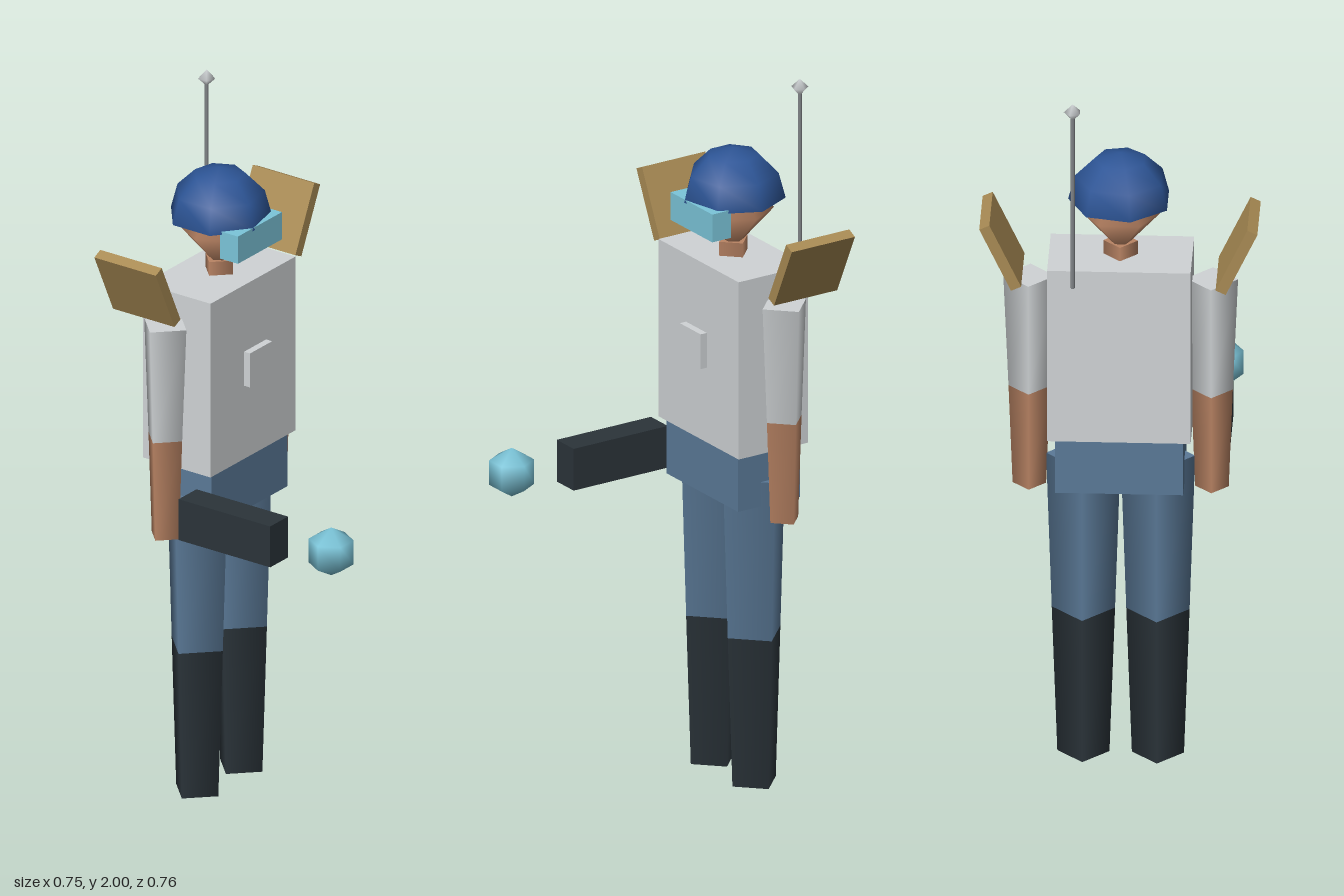
import * as THREE from 'three';

const mat = (name, color, side = THREE.FrontSide) => {
  const m = new THREE.MeshStandardMaterial({ color, side });
  m.name = name;
  return m;
};

export function createModel() {
  const model = new THREE.Group();
  model.name = 'trooper';
  const Z = -0.226; // depth of the body axis

  const grey = mat('light grey', 0xd0d4d6);
  const denim = mat('denim blue', 0x5b7a98);
  const dark = mat('dark slate', 0x2b343a);
  const skin = mat('skin', 0xba8464);
  const navy = mat('helmet blue', 0x2d5596, THREE.DoubleSide);
  const cyan = mat('pale cyan', 0x7cc6da);
  const tan = mat('tan', 0xa98b54);
  const steel = mat('steel', 0x85898c);

  const add = (name, geometry, material, x, y, z) => {
    const mesh = new THREE.Mesh(geometry, material);
    mesh.name = name;
    mesh.position.set(x, y, z);
    model.add(mesh);
    return mesh;
  };
  const box = (name, w, h, d, material, x, y, z) =>
    add(name, new THREE.BoxGeometry(w, h, d), material, x, y, z);
  // Four-sided tapered limb between two heights
  const limb = (name, rTop, rBottom, y0, y1, material, x) =>
    add(name, new THREE.CylinderGeometry(rTop, rBottom, y1 - y0, 4), material, x, (y0 + y1) / 2, Z);

  // Body
  box('torso', 0.385, 0.51, 0.224, grey, 0, 1.235, Z);
  box('chestPlate', 0.1, 0.1, 0.02, grey, 0, 1.25, -0.097);
  box('pelvis', 0.344, 0.16, 0.2, denim, 0, 0.9, Z);
  limb('neck', 0.046, 0.046, 1.47, 1.53, skin, 0);

  // Head, visor and helmet
  const head = add('head', new THREE.SphereGeometry(0.11, 6, 2), skin, 0, 1.618, Z);
  head.scale.y = 1.07;
  box('visor', 0.2, 0.08, 0.06, cyan, 0, 1.62, -0.121);
  add('helmet', new THREE.SphereGeometry(0.141, 7, 3, Math.PI, Math.PI * 2, 0, Math.PI / 2),
    navy, 0, 1.652, Z);

  // Limbs and shoulder panels, mirrored
  for (const [side, s] of [['left', 1], ['right', -1]]) {
    limb(side + 'Sleeve', 0.07, 0.056, 1.09, 1.42, grey, s * 0.245);
    limb(side + 'Forearm', 0.056, 0.045, 0.8, 1.09, skin, s * 0.245);
    limb(side + 'Thigh', 0.1, 0.085, 0.43, 0.89, denim, s * 0.1);
    limb(side + 'Boot', 0.085, 0.07, 0, 0.43, dark, s * 0.1);
    const panel = box(side + 'ShoulderPanel', 0.03, 0.2, 0.204, tan, s * 0.317, 1.54, -0.266);
    panel.rotation.z = -s * 0.44;
  }

  // Hand cannon and energy ball
  box('cannon', 0.081, 0.12, 0.304, dark, -0.245, 0.88, 0);
  add('energyBall', new THREE.SphereGeometry(0.07, 6, 3), cyan, -0.245, 0.898, 0.325);

  // Antenna on the back
  add('antenna', new THREE.CylinderGeometry(0.006, 0.006, 0.52, 5), steel, 0.123, 1.71, -0.358);
  add('antennaTip', new THREE.SphereGeometry(0.024, 5, 2, Math.PI), grey, 0.123, 1.976, -0.358);

  return model;
}
